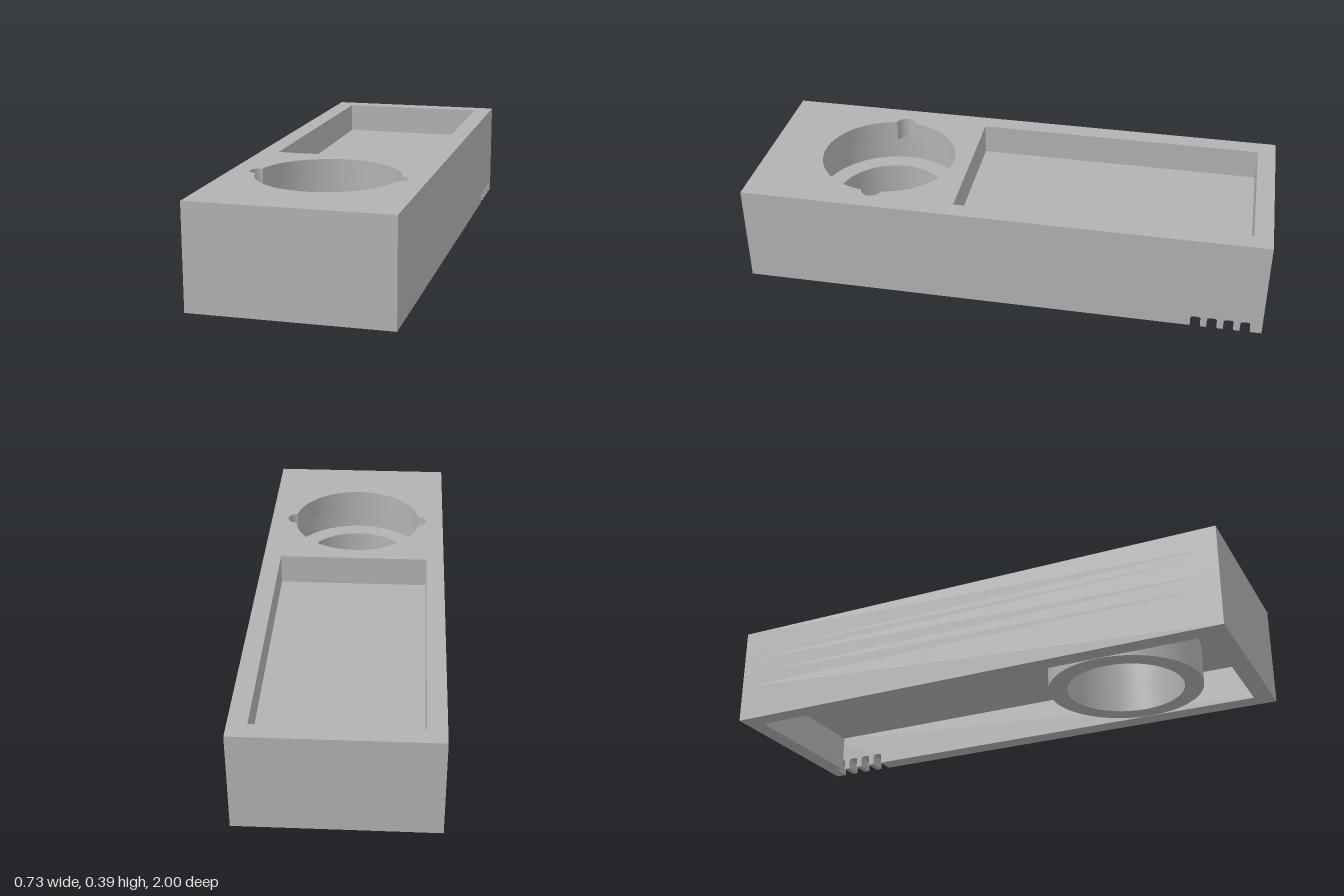
import * as THREE from 'three';
import { toCreasedNormals } from 'three/addons/utils/BufferGeometryUtils.js';

const W = 0.365, L = 1, H = 0.387;       // half width, half length, height
const T = 0.07;                          // wall thickness
const INNER = W - T;                     // half width of cavity and tray
const CEILING = 0.147, LEDGE = 0.2, TRAY = 0.267, LIP = 0.3;
const HOLE_Z = 0.515, BORE = 0.222, MOUTH = 0.263, GROOVE = INNER;

// Plans are drawn with shape y = -z, then laid flat.
function rectangle(Type, x0, x1, z0, z1) {
  const s = new Type();
  s.moveTo(x0, -z1);
  s.lineTo(x1, -z1);
  s.lineTo(x1, -z0);
  s.lineTo(x0, -z0);
  s.closePath();
  return s;
}

function circle(Type, r) {
  const s = new Type();
  s.absarc(0, -HOLE_Z, r, 0, Math.PI * 2, false);
  return s;
}

// Round mouth with a small half-round notch on each side
function notchedCircle() {
  const d = 0.255, r = 0.04;
  const ix = (MOUTH * MOUTH - r * r + d * d) / (2 * d);
  const iy = Math.sqrt(MOUTH * MOUTH - ix * ix);
  const a = Math.atan2(iy, ix), b = Math.atan2(iy, ix - d);
  const p = new THREE.Path();
  p.absarc(0, -HOLE_Z, MOUTH, a, Math.PI - a, false);
  p.absarc(-d, -HOLE_Z, r, Math.PI - b, Math.PI + b, false);
  p.absarc(0, -HOLE_Z, MOUTH, Math.PI + a, 2 * Math.PI - a, false);
  p.absarc(d, -HOLE_Z, r, -b, b, false);
  return p;
}

function extrude(shape, depth) {
  return new THREE.ExtrudeGeometry(shape, { depth, bevelEnabled: false, curveSegments: 48 });
}

export function createModel() {
  const group = new THREE.Group();
  const grey = new THREE.MeshStandardMaterial({ color: 0xb2b2b2 });
  grey.name = 'grey';

  function add(name, geometry) {
    const mesh = new THREE.Mesh(toCreasedNormals(geometry, 0.5), grey);
    mesh.name = name;
    group.add(mesh);
    return mesh;
  }

  function layer(name, shape, holes, y0, y1) {
    shape.holes.push(...holes);
    const g = extrude(shape, y1 - y0);
    g.rotateX(-Math.PI / 2);
    g.translate(0, y0, 0);
    return add(name, g);
  }

  const outline = () => rectangle(THREE.Shape, -W, W, -L, L);
  const tray = () => rectangle(THREE.Path, -INNER, INNER, -0.93, 0.185);

  // Stacked body: bore, hidden groove, tray and notched mouth
  layer('bodyFloor', outline(), [circle(THREE.Path, BORE)], CEILING, LEDGE);
  layer('grooveLower', outline(), [circle(THREE.Path, GROOVE)], LEDGE, TRAY);
  layer('grooveUpper', outline(), [circle(THREE.Path, GROOVE), tray()], TRAY, LIP);
  layer('topLip', outline(), [notchedCircle(), tray()], LIP, H);

  // Tube reaching down through the underside cavity
  layer('boreTube', circle(THREE.Shape, INNER - 0.002), [circle(THREE.Path, BORE)], 0, CEILING);

  // Plain cavity walls
  layer('rightWall', rectangle(THREE.Shape, -W, -INNER, -L, L), [], 0, CEILING);
  layer('frontWall', rectangle(THREE.Shape, -INNER, INNER, L - T, L), [], 0, CEILING);
  layer('backWall', rectangle(THREE.Shape, -INNER, INNER, -L, -L + T), [], 0, CEILING);

  // Left wall with four round-topped vent slots along its lower edge
  const side = new THREE.Shape();
  const slotW = 0.038, slotH = 0.043, r = 0.01;
  side.moveTo(-L, 0);
  for (let i = 0; i < 4; i++) {
    const u = 0.733 + i * 0.062, v = u + slotW;
    side.lineTo(u, 0);
    side.lineTo(u, slotH - r);
    side.quadraticCurveTo(u, slotH, u + r, slotH);
    side.lineTo(v - r, slotH);
    side.quadraticCurveTo(v, slotH, v, slotH - r);
    side.lineTo(v, 0);
  }
  side.lineTo(L, 0);
  side.lineTo(L, CEILING);
  side.lineTo(-L, CEILING);
  side.closePath();
  const sideGeometry = new THREE.ExtrudeGeometry(side, { depth: T, bevelEnabled: false, curveSegments: 4 });
  sideGeometry.rotateY(Math.PI / 2);
  sideGeometry.translate(INNER, 0, 0);
  add('slottedLeftWall', sideGeometry);

  return group;
}
